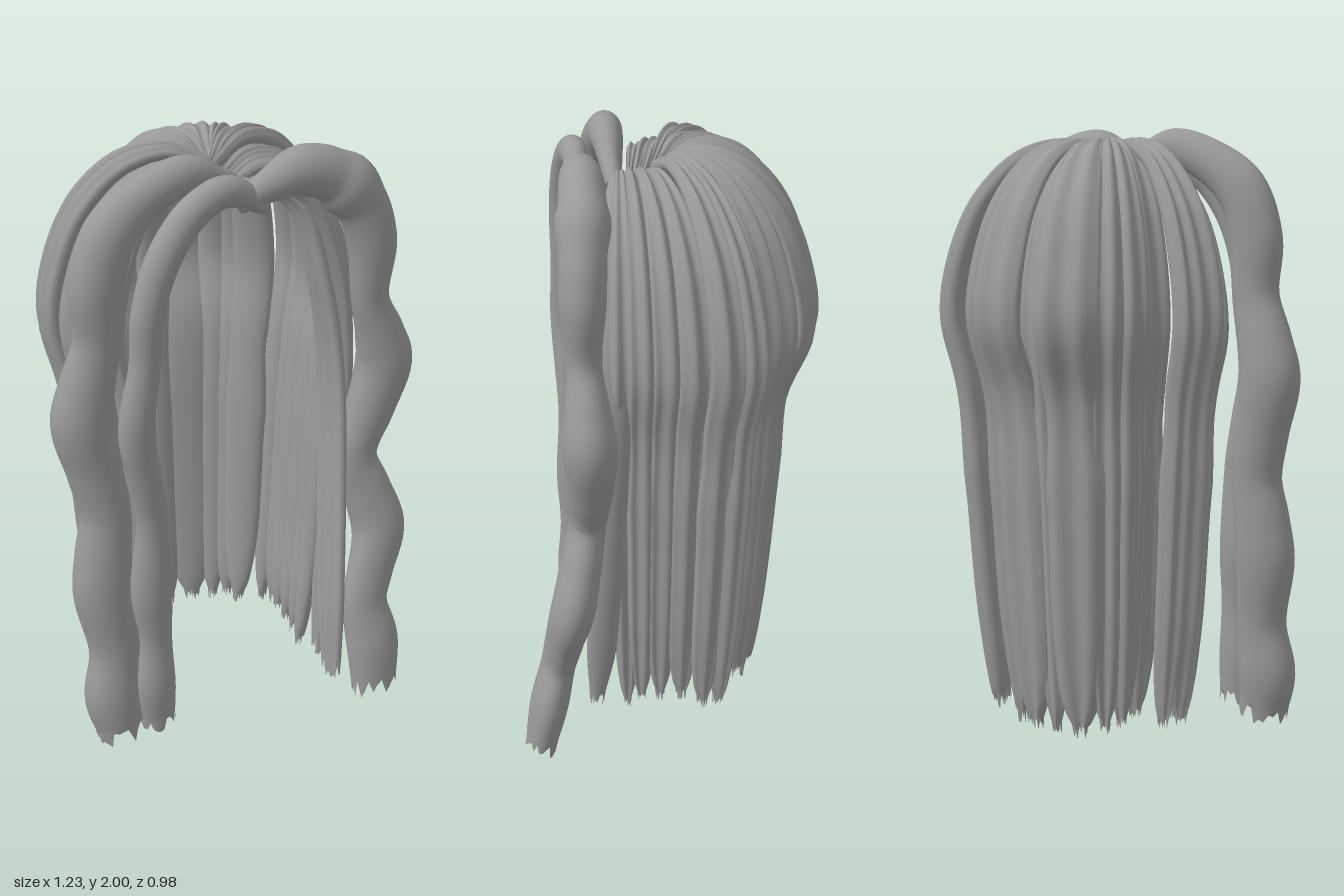
import * as THREE from 'three';

const hair = new THREE.MeshStandardMaterial({ color: 0x999999, side: THREE.DoubleSide });
hair.name = 'hair grey';

// Small seeded random for ragged tips
let seed = 7;
const rand = () => (seed = (seed * 16807) % 2147483647) / 2147483647;

// Sweeps an oval along stations [x, y, z, sideRadius, depthRadius].
// side: direction of the oval's width; ridge: strength of lengthwise grooves on the outer face.
function sweep(name, stations, side, { ridge = 0, ridges = 5, rows = 60, sides = 40, ragged = 0.03 } = {}) {
  const path = new THREE.CatmullRomCurve3(stations.map(s => new THREE.Vector3(s[0], s[1], s[2])));
  const size = new THREE.CatmullRomCurve3(stations.map(s => new THREE.Vector3(s[3], s[4], 0)));
  const pos = [], index = [];
  const S = new THREE.Vector3(), N = new THREE.Vector3(), v = new THREE.Vector3();
  const phase = rand() * 6;
  for (let i = 0; i <= rows; i++) {
    const t = i / rows;
    const P = path.getPoint(t), T = path.getTangent(t), R = size.getPoint(t);
    S.copy(side).addScaledVector(T, -side.dot(T)).normalize();
    N.crossVectors(T, S);
    for (let j = 0; j < sides; j++) {
      const a = j / sides * Math.PI * 2;
      const groove = 1 + ridge * Math.cos(ridges * a + phase + t) * Math.max(0, Math.sin(a));
      v.copy(P)
        .addScaledVector(S, Math.cos(a) * R.x)
        .addScaledVector(N, Math.sin(a) * R.y * groove);
      if (i === rows) v.addScaledVector(T, (rand() - 0.4) * 2 * ragged);
      pos.push(v.x, v.y, v.z);
    }
  }
  for (let i = 0; i < rows; i++) {
    for (let j = 0; j < sides; j++) {
      const k = (j + 1) % sides, a = i * sides, b = a + sides;
      index.push(a + j, a + k, b + k, a + j, b + k, b + j);
    }
  }
  // Close the root end
  for (let j = 1; j < sides - 1; j++) index.push(0, j + 1, j);
  const geo = new THREE.BufferGeometry();
  geo.setAttribute('position', new THREE.Float32BufferAttribute(pos, 3));
  geo.setIndex(index);
  geo.computeVertexNormals();
  const mesh = new THREE.Mesh(geo, hair);
  mesh.name = name;
  return mesh;
}

// Side profile shared by the body strands: [reach, height, width factor]
const profile = [
  [0.03, 1.89, 0.15], [0.25, 1.94, 0.35], [0.52, 1.9, 0.6], [0.76, 1.77, 0.85], [0.9, 1.6, 1], [0.96, 1.4, 1.05],
  [0.87, 1.17, 1], [0.81, 0.8, 1], [0.76, 0.45, 0.95], [0.72, 0.27, 0.78], [0.7, 0.17, 0.55], [0.69, 0.11, 0.25],
];

// One strand falling from the crown, widest at plan position (x, z); waist draws in its lower half
function bodyStrand(name, x, z, width, depth, waist = 1) {
  const rootZ = Math.max(0, 0.085 + 0.3 * z);
  const drop = z > -0.1 ? 0.035 : 0;
  const tip = (rand() - 0.5) * 0.05;
  const stations = profile.map(([reach, y, w], i) => {
    const r = reach * (i > 5 ? waist : 1);
    return [
      x * r, y - drop * (y > 1.3 ? 1 : 0) + (i > 8 ? tip : 0), rootZ + (z - rootZ) * r,
      width * w, depth * (0.35 + 0.65 * w),
    ];
  });
  const side = new THREE.Vector3(z - rootZ, 0, -x).normalize();
  return sweep(name, stations, side, { ridge: 0.3 });
}

// Round lock through [x, y, z, radius]; tipRatio flattens it front to back near the tip
function lock(name, points, tipRatio) {
  const stations = points.map(([x, y, z, r]) =>
    [x, y, z, r * THREE.MathUtils.lerp(tipRatio, 0.85, Math.min(1, y / 1.2)), r]);
  return sweep(name, stations, new THREE.Vector3(0, 0, 1), { rows: 110, sides: 32, ragged: 0.035 });
}

export function createModel() {
  const group = new THREE.Group();
  group.name = 'hair';

  // Back of the hair
  const back = new THREE.Group();
  back.name = 'backStrands';
  back.add(bodyStrand('centreBackStrand', 0, -0.425, 0.055, 0.026, 1.03));
  for (const s of [1, -1]) {
    back.add(
      bodyStrand('backStrand', s * 0.135, -0.46, 0.1, 0.036, 0.92),
      bodyStrand('backStrand', s * 0.235, -0.39, 0.06, 0.035, 0.96),
      bodyStrand('backStrand', s * 0.29, -0.33, 0.06, 0.035, 0.97),
      bodyStrand('backStrand', s * 0.305, -0.24, 0.07, 0.035),
    );
  }
  group.add(back);

  // Sides of the hair
  const sides = new THREE.Group();
  sides.name = 'sideStrands';
  for (const s of [1, -1]) {
    sides.add(
      bodyStrand('sideStrand', s * 0.46, -0.25, 0.05, 0.04),
      bodyStrand('sideStrand', s * 0.485, -0.18, 0.06, 0.038),
      bodyStrand('sideStrand', s * 0.455, -0.09, 0.06, 0.036),
    );
  }
  sides.add(
    bodyStrand('sideStrand', -0.425, -0.02, 0.055, 0.034),
    bodyStrand('sideStrand', -0.365, 0.04, 0.045, 0.03),
    bodyStrand('sideStrand', 0.445, 0, 0.055, 0.034),
    bodyStrand('sideStrand', 0.44, 0.08, 0.05, 0.034),
    bodyStrand('sideStrand', 0.43, 0.14, 0.045, 0.03),
  );
  group.add(sides);

  // Flat strands sweeping forward behind the left lock
  const forward = new THREE.Group();
  forward.name = 'leftForwardStrands';
  const depthAxis = new THREE.Vector3(0, 0, 1);
  forward.add(
    sweep('innerForwardStrand', [
      [0.04, 1.87, 0.11, 0.02, 0.015], [0.22, 1.79, 0.14, 0.04, 0.028], [0.31, 1.5, 0.17, 0.06, 0.032],
      [0.35, 1.2, 0.19, 0.07, 0.032], [0.335, 0.8, 0.25, 0.075, 0.032], [0.3, 0.4, 0.33, 0.07, 0.032],
      [0.28, 0.13, 0.385, 0.045, 0.025],
    ], depthAxis, { ridge: 0.3 }),
    sweep('outerForwardStrand', [
      [0.04, 1.87, 0.14, 0.02, 0.015], [0.24, 1.81, 0.16, 0.035, 0.028], [0.36, 1.55, 0.17, 0.045, 0.034],
      [0.4, 1.25, 0.17, 0.05, 0.034], [0.38, 0.8, 0.19, 0.05, 0.032], [0.34, 0.36, 0.22, 0.05, 0.03],
      [0.315, 0.12, 0.24, 0.025, 0.02],
    ], depthAxis, { ridge: 0.3 }),
  );
  group.add(forward);

  // Wavy front locks
  group.add(lock('leftFrontLock', [
    [-0.03, 1.85, 0.25, 0.03], [0.08, 1.895, 0.25, 0.055], [0.18, 1.922, 0.25, 0.078], [0.3, 1.88, 0.25, 0.085],
    [0.39, 1.79, 0.255, 0.085], [0.438, 1.65, 0.26, 0.083], [0.443, 1.45, 0.26, 0.063], [0.49, 1.31, 0.255, 0.083],
    [0.515, 1.2, 0.25, 0.097], [0.47, 1.04, 0.25, 0.088], [0.417, 0.88, 0.26, 0.075], [0.455, 0.74, 0.285, 0.085],
    [0.487, 0.6, 0.315, 0.096], [0.445, 0.46, 0.345, 0.086], [0.415, 0.35, 0.365, 0.083], [0.432, 0.2, 0.4, 0.096],
    [0.428, 0.05, 0.43, 0.085],
  ], 0.62));
  group.add(lock('rightOuterLock', [
    [0.04, 1.85, 0.145, 0.03], [-0.05, 1.9, 0.155, 0.04], [-0.16, 1.938, 0.16, 0.06], [-0.3, 1.89, 0.16, 0.072],
    [-0.41, 1.8, 0.165, 0.085], [-0.46, 1.65, 0.17, 0.088], [-0.463, 1.47, 0.17, 0.077], [-0.5, 1.32, 0.165, 0.09],
    [-0.52, 1.2, 0.165, 0.1], [-0.49, 1.03, 0.175, 0.09], [-0.465, 0.87, 0.19, 0.085], [-0.48, 0.73, 0.2, 0.094],
    [-0.49, 0.6, 0.21, 0.1], [-0.468, 0.37, 0.235, 0.085], [-0.483, 0.2, 0.25, 0.098], [-0.465, 0.07, 0.265, 0.085],
  ], 0.8));
  group.add(lock('rightInnerLock', [
    [0.06, 1.835, 0.25, 0.03], [-0.08, 1.905, 0.26, 0.05], [-0.2, 1.86, 0.275, 0.053], [-0.3, 1.74, 0.29, 0.055],
    [-0.355, 1.58, 0.298, 0.053], [-0.367, 1.43, 0.3, 0.05], [-0.4, 1.2, 0.3, 0.058], [-0.373, 1.03, 0.295, 0.055],
    [-0.35, 0.87, 0.29, 0.052], [-0.355, 0.6, 0.29, 0.07], [-0.345, 0.4, 0.295, 0.055], [-0.35, 0.22, 0.3, 0.068],
    [-0.345, 0.09, 0.3, 0.06],
  ], 0.75));

  return group;
}
